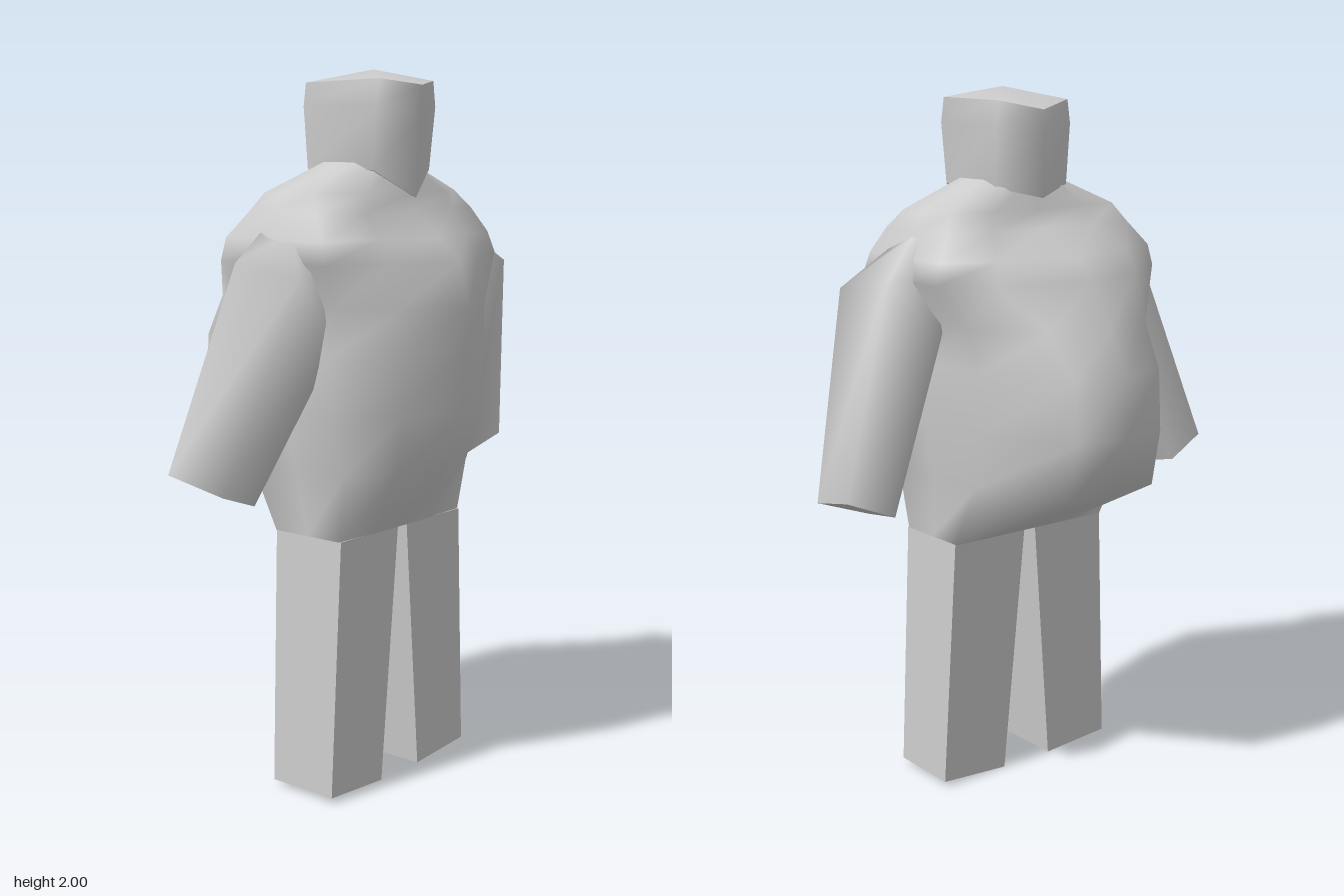
import * as THREE from 'three';

const CENTRE = -0.02; // the body sits slightly off the arms' mid-line

// Skin a stack of rings (bottom to top, counter-clockwise from above) and close both ends.
// Caps own their vertices, so the ends stay crisp while the sides are smooth.
function loft(rings, topPoint) {
  const n = rings[0].length;
  const pos = rings.flat(2);
  const index = [];
  for (let r = 0; r < rings.length - 1; r++) {
    for (let i = 0; i < n; i++) {
      const j = (i + 1) % n;
      const a = r * n + i, b = r * n + j;
      index.push(a, b, b + n, a, b + n, a + n);
    }
  }
  const cap = (ring, up, point) => {
    const mid = point || [0, 1, 2].map(k => ring.reduce((s, p) => s + p[k], 0) / n);
    const start = pos.length / 3;
    pos.push(...ring.flat(), ...mid);
    for (let i = 0; i < n; i++) {
      const a = start + i, b = start + (i + 1) % n;
      if (up) index.push(a, b, start + n);
      else index.push(b, a, start + n);
    }
  };
  cap(rings[0], false);
  cap(rings[rings.length - 1], true, topPoint);
  const geo = new THREE.BufferGeometry();
  geo.setAttribute('position', new THREE.Float32BufferAttribute(pos, 3));
  geo.setIndex(index);
  geo.computeVertexNormals();
  return geo;
}

// Complete a half ring, running from front centre to back centre round the left side.
function mirrorRing(half) {
  const other = half.slice(1, -1).reverse().map(([x, y, z]) => [-x, y, z]);
  return [...half, ...other].map(([x, y, z]) => [x + CENTRE, y, z]);
}

// Mirror rings about x = c, keeping the faces pointing outwards.
const flip = (rings, c) => rings.map(r => r.map(([x, y, z]) => [2 * c - x, y, z]).reverse());

export function createModel() {
  const group = new THREE.Group();
  const smooth = new THREE.MeshStandardMaterial({ color: 0xcccccc });
  const flat = new THREE.MeshStandardMaterial({ color: 0xcccccc, flatShading: true });
  const add = (name, geo, mat = smooth) => {
    const mesh = new THREE.Mesh(geo, mat);
    mesh.name = name;
    group.add(mesh);
  };

  // Torso: y, front z, front quarter, front corner, side, back corner, back quarter, back z
  const levels = [
    [0.735, 0.21, [0.14, 0.21], [0.27, 0.205], [0.27, 0.09], [0.27, -0.025], [0.14, -0.025], -0.025],
    [0.92, 0.355, [0.16, 0.315], [0.285, 0.23], [0.285, 0.06], [0.27, -0.12], [0.15, -0.38], -0.40],
    [1.08, 0.405, [0.18, 0.345], [0.32, 0.22], [0.315, 0.05], [0.28, -0.15], [0.15, -0.41], -0.434],
    [1.25, 0.42, [0.19, 0.35], [0.32, 0.22], [0.31, 0.05], [0.28, -0.15], [0.15, -0.40], -0.434],
    [1.37, 0.434, [0.19, 0.35], [0.315, 0.23], [0.31, 0.04], [0.30, -0.13], [0.17, -0.32], -0.365],
    [1.49, 0.40, [0.20, 0.32], [0.38, 0.25], [0.385, 0.02], [0.39, -0.11], [0.25, -0.19], -0.29],
    [1.55, 0.33, [0.20, 0.28], [0.37, 0.23], [0.375, 0.03], [0.37, -0.11], [0.23, -0.17], -0.24],
    [1.62, 0.25, [0.19, 0.235], [0.34, 0.19], [0.34, 0.05], [0.32, -0.07], [0.18, -0.09], -0.09],
    [1.67, 0.235, [0.17, 0.22], [0.31, 0.15], [0.32, 0.05], [0.29, -0.04], [0.16, -0.07], -0.07],
    [1.75, 0.19, [0.08, 0.18], [0.13, 0.13], [0.14, 0.08], [0.13, 0.03], [0.08, -0.03], -0.03],
  ];
  add('torso', loft(levels.map(([y, front, ...rest]) => {
    const back = rest.pop();
    return mirrorRing([[0, y, front], ...rest.map(([x, z]) => [x, y, z]), [0, y, back]]);
  })));

  // Head: six-sided with a pointed chin and a shallow peaked crown
  add('head', loft([
    [[0, 1.655, 0.25], [0.125, 1.73, 0.20], [0.125, 1.73, -0.03], [0, 1.70, -0.08]],
    [[0, 1.88, 0.265], [0.13, 1.90, 0.216], [0.13, 1.90, -0.04], [0, 1.88, -0.083]],
    [[0, 1.955, 0.27], [0.12, 1.97, 0.216], [0.12, 1.965, -0.04], [0, 1.94, -0.083]],
  ].map(mirrorRing), [CENTRE, 2.0, 0.1]));

  // Arms: square tubes from the wrist to a tapered shoulder
  const arm = [
    [[0.48, 0.85, 0.07], [0.625, 0.90, 0.095], [0.645, 0.94, -0.085], [0.51, 0.885, -0.11]],
    [[0.28, 1.28, 0.19], [0.46, 1.46, 0.215], [0.46, 1.49, -0.01], [0.30, 1.32, -0.03]],
    [[0.20, 1.50, 0.13], [0.37, 1.57, 0.11], [0.345, 1.61, 0.026], [0.20, 1.52, 0.02]],
  ];
  add('leftArm', loft(arm));
  add('rightArm', loft(flip(arm, 0)));

  // Legs: faceted tapered blocks, splayed outwards
  const leg = [
    [[0.065, 0, 0.205], [0.285, 0.015, 0.205], [0.285, 0.015, -0.01], [0.065, 0, -0.01]],
    [[0.0, 0.737, 0.21], [0.25, 0.737, 0.21], [0.25, 0.737, -0.024], [0.0, 0.737, -0.024]],
  ];
  add('leftLeg', loft(leg), flat);
  add('rightLeg', loft(flip(leg, CENTRE)), flat);

  return group;
}
